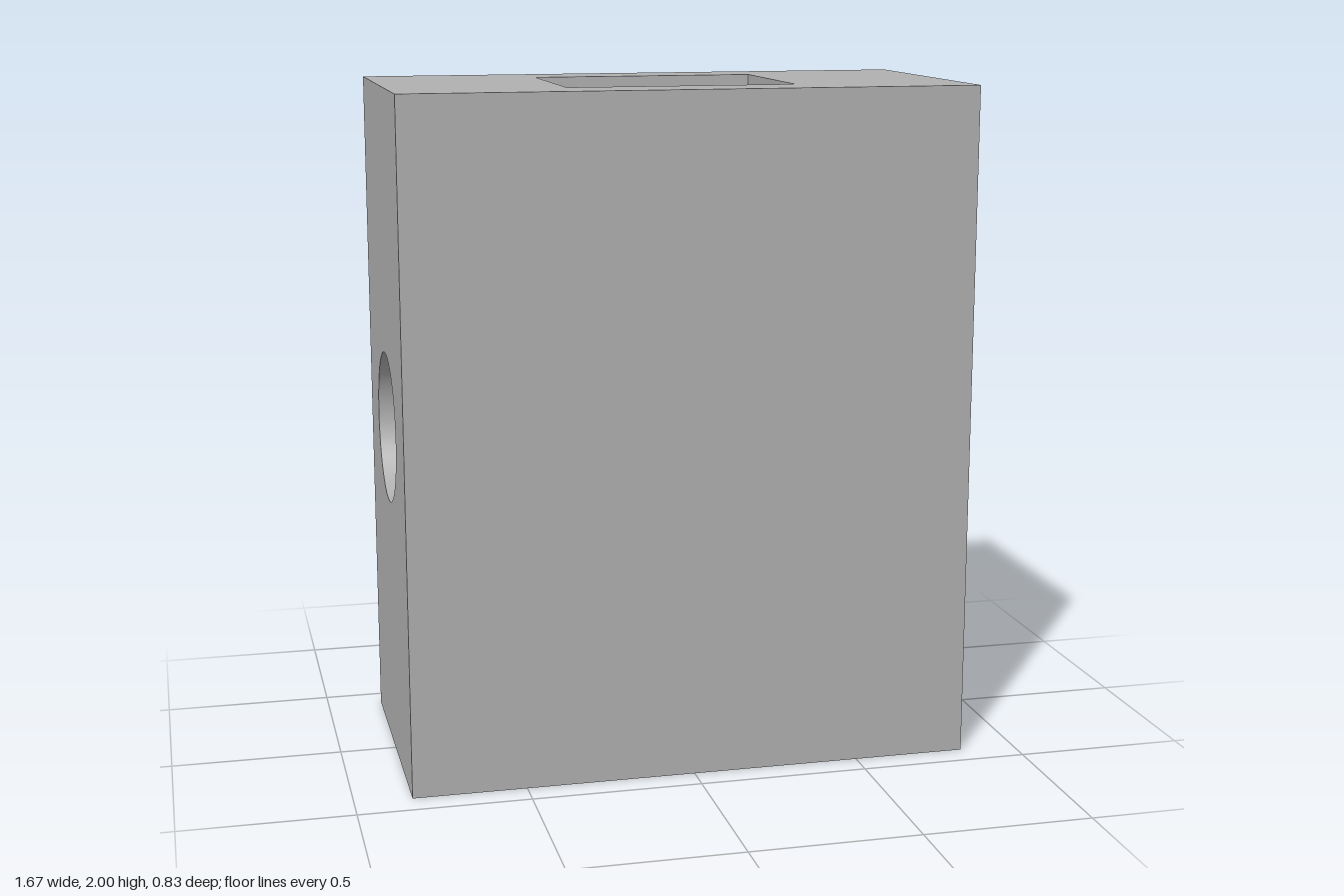
import * as THREE from 'three';

const W = 1.667, H = 2, D = 0.833;          // block size
const PW = 0.667, PD = 0.5, DEPTH = 0.667;  // rectangular pocket
const R = 0.222, r = 0.104;                 // recess and screw hole radii

const gray = new THREE.MeshStandardMaterial({ color: 0xb0b0b0 });
gray.name = 'plain gray';

function rectangle(w, h, Type) {
  const p = new Type();
  p.moveTo(-w / 2, -h / 2);
  p.lineTo(w / 2, -h / 2);
  p.lineTo(w / 2, h / 2);
  p.lineTo(-w / 2, h / 2);
  p.closePath();
  return p;
}

// Flat outer face looking along +z, with an optional hole
function face(w, h, hole) {
  const shape = rectangle(w, h, THREE.Shape);
  if (hole) shape.holes.push(hole);
  return new THREE.ShapeGeometry(shape, 48);
}

// Box turned inside out, without its top
function pocketGeometry() {
  const g = new THREE.BoxGeometry(PW, DEPTH, PD);
  const kept = [...g.index.array].filter((_, i) => i < 12 || i >= 18);
  g.setIndex(kept.reverse());
  const n = g.attributes.normal;
  for (let i = 0; i < n.count; i++) n.setXYZ(i, -n.getX(i), -n.getY(i), -n.getZ(i));
  g.clearGroups();
  return g;
}

export function createModel() {
  const model = new THREE.Group();
  model.name = 'block';

  const add = (parent, name, geometry) => {
    const mesh = new THREE.Mesh(geometry, gray);
    mesh.name = name;
    parent.add(mesh);
    return mesh;
  };

  // Front and back faces
  for (const [name, turn] of [['front', 0], ['back', Math.PI]]) {
    const g = face(W, H).translate(0, 0, D / 2).rotateY(turn);
    add(model, name + 'Face', g).position.y = H / 2;
  }

  // Side faces with the round opening
  for (const [name, s] of [['left', 1], ['right', -1]]) {
    const circle = new THREE.Path().absarc(0, 0, R, 0, Math.PI * 2, true);
    const g = face(D, H, circle).translate(0, 0, W / 2).rotateY(s * Math.PI / 2);
    add(model, name + 'Face', g).position.y = H / 2;
  }

  // Top and bottom faces, each with a blind rectangular pocket
  for (const [name, turn] of [['top', 0], ['bottom', Math.PI]]) {
    const end = new THREE.Group();
    end.name = name + 'End';
    end.position.y = H / 2;
    end.rotation.x = turn;
    const rim = face(W, D, rectangle(PW, PD, THREE.Path));
    add(end, name + 'Face', rim.rotateX(-Math.PI / 2).translate(0, H / 2, 0));
    add(end, name + 'Pocket', pocketGeometry().translate(0, H / 2 - DEPTH / 2, 0));
    model.add(end);
  }

  // Bore from side to side: recess, thin lip, wide middle, thin lip, recess
  const bore = new THREE.Group();
  bore.name = 'bore';
  bore.position.y = H / 2;
  bore.rotation.z = Math.PI / 2;
  const a = W / 2 - 0.125, b = a - 0.03;
  const profile = [
    [R, W / 2], [R, a], [r, a], [r, b], [R, b],
    [R, -b], [r, -b], [r, -a], [R, -a], [R, -W / 2],
  ].map(([x, y]) => new THREE.Vector2(x, y));
  for (let i = 0; i < profile.length - 1; i++) {
    add(bore, 'boreWall' + (i + 1), new THREE.LatheGeometry([profile[i], profile[i + 1]], 64));
  }
  model.add(bore);

  return model;
}
